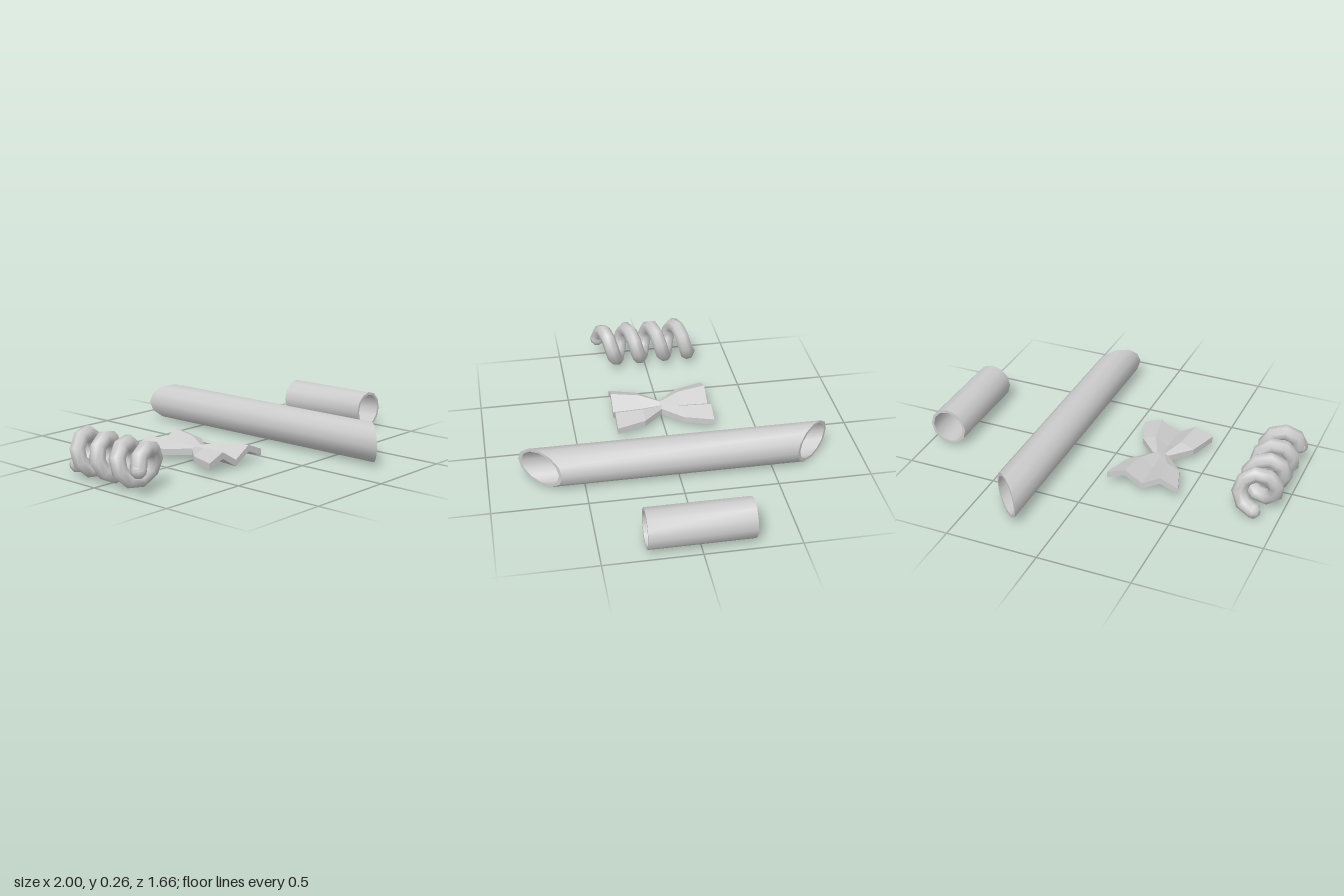
import * as THREE from 'three';
import { toCreasedNormals } from 'three/addons/utils/BufferGeometryUtils.js';

const smooth = new THREE.MeshStandardMaterial({ color: 0xcccccc });
const faceted = new THREE.MeshStandardMaterial({ color: 0xcccccc, flatShading: true });

// Apply rule(v) to every vertex
function reshape(geometry, rule) {
  const p = geometry.attributes.position;
  const v = new THREE.Vector3();
  for (let i = 0; i < p.count; i++) {
    rule(v.fromBufferAttribute(p, i));
    p.setXYZ(i, v.x, v.y, v.z);
  }
  return geometry;
}

const ringPoints = (r, n = 12) => Array.from({ length: n }, (_, i) => {
  const a = (i / n) * Math.PI * 2;
  return new THREE.Vector2(r * Math.cos(a), r * Math.sin(a));
});

// Hollow tube along z; slope slants both ends symmetrically
function pastaTube(name, x, halfLength, slope) {
  const shape = new THREE.Shape(ringPoints(0.105));
  shape.holes.push(new THREE.Path(ringPoints(0.09)));
  const geometry = new THREE.ExtrudeGeometry(shape, { depth: 1, bevelEnabled: false });
  reshape(geometry, v => {
    v.z = (v.z > 0.5 ? 1 : -1) * (halfLength - slope * v.x);
  });
  const mesh = new THREE.Mesh(toCreasedNormals(geometry, 0.7), smooth);
  mesh.name = name;
  mesh.position.set(x, 0.112, 0);
  return mesh;
}

// Corkscrew: helical tube with rounded ends
function spiralPasta() {
  const group = new THREE.Group();
  group.name = 'spiralPasta';
  const turns = 3.75, r = 0.088, thickness = 0.042;
  class Helix extends THREE.Curve {
    getPoint(t, target = new THREE.Vector3()) {
      const a = Math.PI - t * turns * Math.PI * 2;
      return target.set(r * Math.cos(a), r * Math.sin(a), 0.272 - 0.544 * t);
    }
  }
  const helix = new Helix();
  const coil = new THREE.Mesh(new THREE.TubeGeometry(helix, 32, thickness, 8), smooth);
  coil.name = 'spiralCoil';
  group.add(coil);
  for (const t of [0, 1]) {
    const cap = new THREE.Mesh(new THREE.SphereGeometry(thickness * 0.97, 8, 6), smooth);
    cap.name = 'spiralEnd';
    cap.position.copy(helix.getPoint(t));
    group.add(cap);
  }
  group.position.set(-0.87, 0.132, 0);
  return group;
}

// Bow tie: folded strip pinched in the middle
function bowTiePasta() {
  const fold = x => {
    const u = Math.abs(x) / 0.2;
    return u < 0.5 ? -0.02 + 0.12 * u : 0.08 * (1 - u);
  };
  const xs = [-0.2, -0.1, 0, 0.1, 0.2];
  const bottom = xs.map(x => new THREE.Vector2(x, 0.03 + fold(x)));
  const top = xs.map(x => new THREE.Vector2(x, 0.065 + fold(x))).reverse();
  const geometry = new THREE.ExtrudeGeometry(new THREE.Shape([...bottom, ...top]),
    { depth: 4, steps: 4, bevelEnabled: false });
  const stations = [-0.27, -0.11, 0, 0.11, 0.27];
  const widths = [1, 0.74, 0.22, 0.74, 1];
  reshape(geometry, v => {
    const k = Math.round(v.z);
    v.y -= (1 - widths[k]) * fold(v.x);
    v.x *= widths[k];
    v.z = stations[k];
  });
  geometry.computeVertexNormals();
  const mesh = new THREE.Mesh(geometry, faceted);
  mesh.name = 'bowTiePasta';
  mesh.position.x = -0.262;
  return mesh;
}

export function createModel() {
  const model = new THREE.Group();
  model.name = 'pastaShapes';
  model.add(
    spiralPasta(),
    bowTiePasta(),
    pastaTube('slantedTubePasta', 0.3, 0.727, 1),
    pastaTube('shortTubePasta', 0.892, 0.27, 0),
  );
  return model;
}
